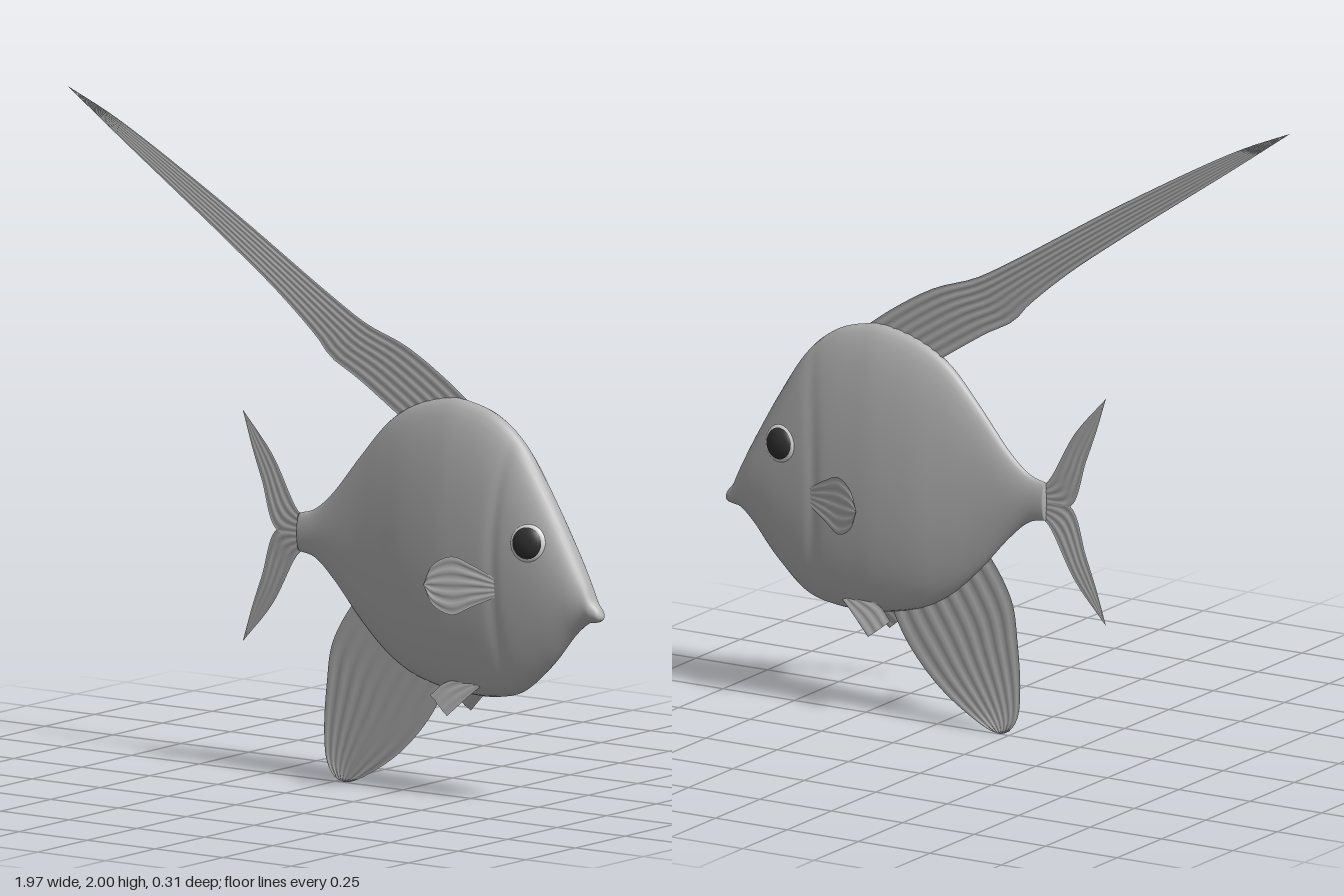
import * as THREE from 'three';

const bodyGrey = new THREE.MeshStandardMaterial({ name: 'body grey', color: 0xb2b2b2 });
const finGrey = new THREE.MeshStandardMaterial({ name: 'fin grey', color: 0xb2b2b2, side: THREE.DoubleSide });
const eyeWhite = new THREE.MeshStandardMaterial({ name: 'eye white', color: 0xdedede });
const pupilDark = new THREE.MeshStandardMaterial({ name: 'pupil dark', color: 0x303030 });

// Body stations from tail to snout: x, top, bottom, half width
const STATIONS = [
  [-0.13, 0.80, 0.685, 0.018], [-0.07, 0.82, 0.67, 0.022], [0, 0.88, 0.61, 0.03],
  [0.1, 1.0, 0.5, 0.043], [0.2, 1.11, 0.41, 0.059], [0.3, 1.172, 0.355, 0.075],
  [0.42, 1.205, 0.325, 0.086], [0.5, 1.202, 0.318, 0.088], [0.6, 1.17, 0.32, 0.087],
  [0.7, 1.09, 0.348, 0.081], [0.8, 0.94, 0.435, 0.07], [0.88, 0.8, 0.53, 0.054],
  [0.93, 0.705, 0.573, 0.036], [0.955, 0.65, 0.58, 0.028], [0.975, 0.625, 0.585, 0.021],
  [0.985, 0.608, 0.592, 0.009],
];

function bodyGeometry() {
  const outline = new THREE.CatmullRomCurve3(STATIONS.map(([x, t, b]) => new THREE.Vector3(x, t, b)), false, 'catmullrom');
  const widths = new THREE.CatmullRomCurve3(STATIONS.map(([x, , , w]) => new THREE.Vector3(x, w, 0)), false, 'catmullrom');
  const rings = 150, sides = 40, pos = [], idx = [];
  for (let i = 0; i <= rings; i++) {
    const o = outline.getPoint(i / rings), w = widths.getPoint(i / rings).y;
    const mid = (o.y + o.z) / 2, half = (o.y - o.z) / 2;
    for (let j = 0; j < sides; j++) {
      const a = (j / sides) * Math.PI * 2;
      const y = mid + half * Math.cos(a);
      // Shallow curved groove behind the gill cover
      const gill = 0.635 + 0.25 * (y - 0.72) ** 2;
      const groove = 1 - 0.05 * Math.exp(-(((o.x - gill) / 0.02) ** 2));
      pos.push(o.x, y, w * Math.sin(a) * groove);
    }
  }
  for (let i = 0; i < rings; i++) {
    for (let j = 0; j < sides; j++) {
      const k = (j + 1) % sides;
      const a = i * sides + j, b = i * sides + k;
      idx.push(a, b, a + sides, b, b + sides, a + sides);
    }
  }
  // Close both ends
  const tail = pos.length / 3, last = rings * sides;
  pos.push(-0.132, 0.742, 0, 0.988, 0.6, 0);
  for (let j = 0; j < sides; j++) {
    const k = (j + 1) % sides;
    idx.push(tail, k, j, tail + 1, last + j, last + k);
  }
  const g = new THREE.BufferGeometry();
  g.setAttribute('position', new THREE.Float32BufferAttribute(pos, 3));
  g.setIndex(idx);
  g.computeVertexNormals();
  return g;
}

// Thin fin spanned between two edges that run from root to tip, rippled by its rays
function fin(name, edgeA, edgeB, rays, depth = () => 0) {
  const curve = (pts) => new THREE.CatmullRomCurve3(pts.map(([x, y]) => new THREE.Vector3(x, y, 0)));
  const A = curve(edgeA), B = curve(edgeB), nu = 40, nv = rays * 4, pos = [], idx = [];
  for (let i = 0; i <= nu; i++) {
    const a = A.getPointAt(i / nu), b = B.getPointAt(i / nu);
    const ripple = 0.0025 * Math.min(1, a.distanceTo(b) / 0.12);
    for (let j = 0; j <= nv; j++) {
      const p = a.clone().lerp(b, j / nv);
      pos.push(p.x, p.y, depth(p.x, p.y) + ripple * Math.sin((j / nv) * rays * Math.PI * 2));
    }
  }
  for (let i = 0; i < nu; i++) {
    for (let j = 0; j < nv; j++) {
      const p = i * (nv + 1) + j, q = p + nv + 1;
      idx.push(p, q, p + 1, p + 1, q, q + 1);
    }
  }
  const g = new THREE.BufferGeometry();
  g.setAttribute('position', new THREE.Float32BufferAttribute(pos, 3));
  g.setIndex(idx);
  g.computeVertexNormals();
  const mesh = new THREE.Mesh(g, finGrey);
  mesh.name = name;
  return mesh;
}

function eye(name, s) {
  const group = new THREE.Group();
  group.name = name;
  const ball = new THREE.SphereGeometry(1, 32, 20);
  const white = new THREE.Mesh(ball, eyeWhite);
  white.name = 'eyeWhite';
  white.scale.set(0.058, 0.058, 0.016);
  const pupil = new THREE.Mesh(ball, pupilDark);
  pupil.name = 'pupil';
  pupil.scale.set(0.051, 0.051, 0.026);
  group.add(white, pupil);
  group.position.set(0.758, 0.81, s * 0.065);
  // Lie flat on the cheek
  group.quaternion.setFromUnitVectors(new THREE.Vector3(0, 0, 1), new THREE.Vector3(0.17, 0.1, s).normalize());
  return group;
}

export function createModel() {
  const fish = new THREE.Group();
  fish.name = 'fish';

  const body = new THREE.Mesh(bodyGeometry(), bodyGrey);
  body.name = 'body';
  fish.add(body);

  // Long swept dorsal fin
  fish.add(fin('dorsalFin',
    [[0.52, 1.18], [0.4, 1.265], [0.26, 1.345], [0.12, 1.395], [0, 1.46], [-0.4, 1.70], [-0.8, 1.92], [-0.985, 2.0]],
    [[0.3, 1.09], [0.23, 1.135], [0.08, 1.23], [-0.02, 1.285], [-0.06, 1.33], [-0.2, 1.45], [-0.4, 1.595], [-0.8, 1.87], [-0.985, 2.0]], 7));

  // Rounded anal fin
  fish.add(fin('analFin',
    [[0.13, 0.6], [0.07, 0.55], [-0.01, 0.42], [-0.03, 0.3], [-0.04, 0.15], [-0.03, 0.06], [0, 0.015], [0.03, 0.003]],
    [[0.42, 0.38], [0.395, 0.31], [0.34, 0.22], [0.24, 0.115], [0.12, 0.035], [0.06, 0.008], [0.03, 0.003]], 8));

  // Forked tail
  for (const s of [1, -1]) {
    const lobe = (pts) => pts.map(([x, y]) => [x, 0.74 + s * y]);
    fish.add(fin(s > 0 ? 'upperTailFin' : 'lowerTailFin',
      lobe([[-0.11, 0.045], [-0.14, 0.07], [-0.23, 0.225], [-0.34, 0.35]]),
      lobe([[-0.11, 0], [-0.215, 0], [-0.27, 0.145], [-0.305, 0.24], [-0.34, 0.35]]), 4));
  }

  // Paired fins and eyes
  for (const s of [1, -1]) {
    const side = s > 0 ? 'left' : 'right';
    // z towards the viewer of the front is the nearer flank
    fish.add(fin(side + 'PectoralFin',
      [[0.645, 0.695], [0.58, 0.73], [0.52, 0.753], [0.465, 0.725], [0.437, 0.665]],
      [[0.645, 0.635], [0.58, 0.605], [0.52, 0.577], [0.465, 0.605], [0.437, 0.665]], 5,
      (x) => s * (0.08 + (0.645 - x) * 0.36)));
    fish.add(fin(side + 'PelvicFin',
      [[0.52, 0.37], [0.43, 0.35], [0.385, 0.31]],
      [[0.56, 0.35], [0.53, 0.325], [0.455, 0.255]], 3,
      (x, y) => s * (0.037 + (0.35 - y) * 0.25)));
    fish.add(eye(side + 'Eye', s));
  }
  return fish;
}
